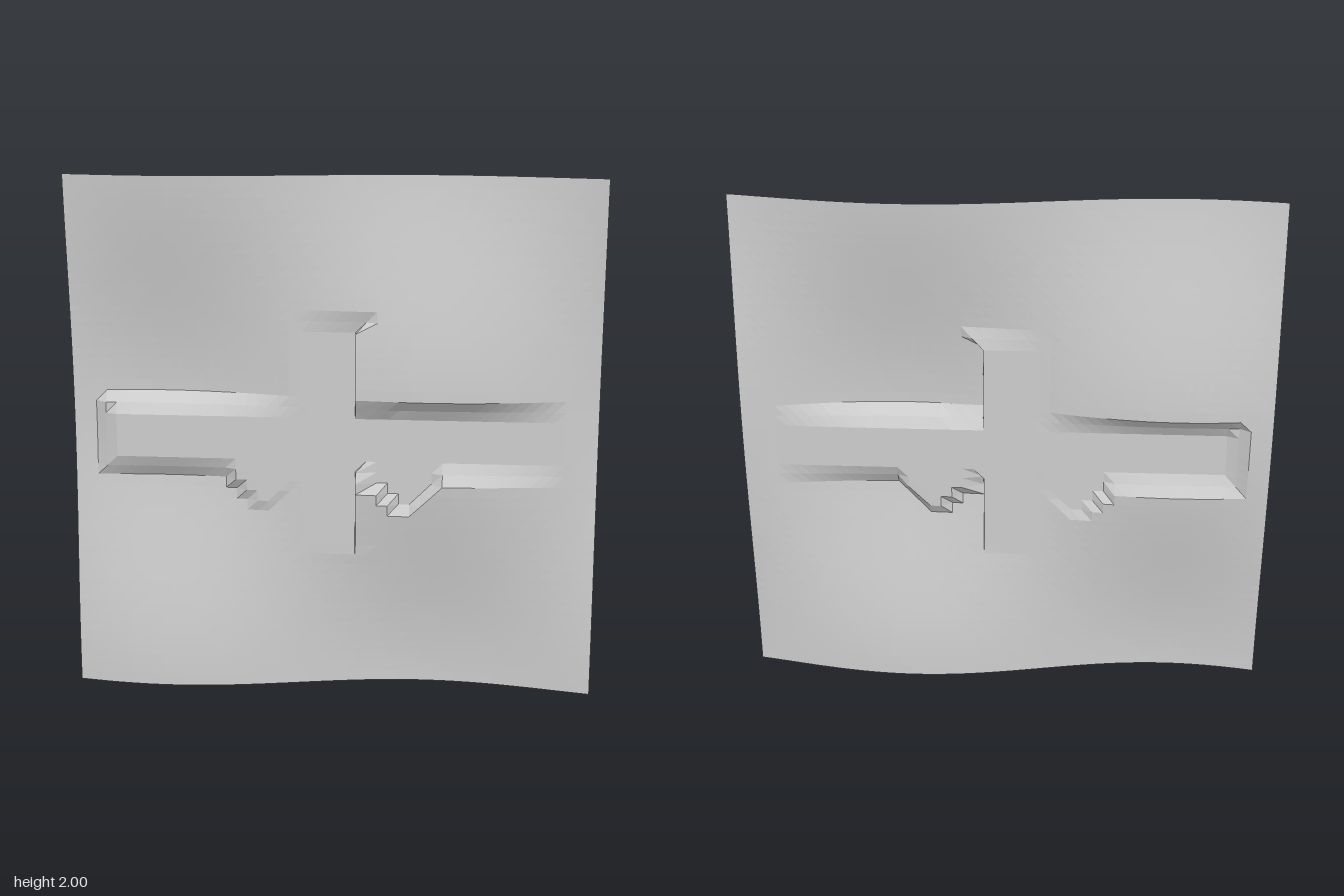
import * as THREE from 'three';

const CELLS = 48, STEP = 2 / CELLS;

// broad rolling waves of the sheet
function waves(x, y) {
  return 0.065 * Math.sin(Math.PI * (x + 0.14) / 1.02) * Math.cos(Math.PI * (y - 1.11) / 1.11);
}

// 0 inside a flat rectangle, rising to 1 over the given margin
function outsideBox(x, y, cx, cy, halfW, halfH, margin) {
  const d = Math.max(Math.abs(x - cx) - halfW, Math.abs(y - cy) - halfH);
  return THREE.MathUtils.clamp(d / margin, 0, 1);
}

// 0 inside a flat diamond, rising to 1 over the given margin
function outsideDiamond(x, y, cx, cy, radius, margin) {
  const d = Math.abs(x - cx) + Math.abs(y - cy) - radius;
  return THREE.MathUtils.clamp(d / margin, 0, 1);
}

// how much of the waves remains: none on the crossing strips and the two side pads
function blend(x, y) {
  const t = Math.min(
    outsideBox(x, y, 0, 1, 0.834, 0.084, 2 * STEP),
    outsideBox(x, y, -0.01, 1, 0.094, 0.418, 2 * STEP),
    outsideDiamond(x, y, 0.27, 0.86, 0.13, STEP),
    outsideDiamond(x, y, -0.27, 0.86, 0.13, STEP)
  );
  return Math.pow(t, 1.4);
}

export function createModel() {
  const group = new THREE.Group();
  group.name = 'reliefPanel';
  const grey = new THREE.MeshStandardMaterial({ color: 0xcccccc, side: THREE.DoubleSide, flatShading: true });
  grey.name = 'plain grey';

  // upright wavy sheet with a flat cross pressed into it
  const geometry = new THREE.PlaneGeometry(2, 2, CELLS, CELLS);
  geometry.translate(0, 1, 0);
  const p = geometry.attributes.position;
  for (let i = 0; i < p.count; i++) {
    const x = p.getX(i), y = p.getY(i);
    // sheer wall along the right side of the upright strip
    const wall = Math.abs(x - 3 * STEP) < 0.001 && Math.abs(y - 1) < 0.43;
    const sheer = wall && Math.abs(y - 1) > 0.1;
    const keep = sheer
      ? Math.min(outsideBox(x, y, 0, 1, 0.834, 0.084, 2 * STEP),
        outsideDiamond(x, y, 0.27, 0.86, 0.13, STEP))
      : x > 3 * STEP + 0.001 && x < 5 * STEP
        ? Math.min(outsideBox(x, y, 0, 1, 0.834, 0.084, 2 * STEP),
          outsideDiamond(x, y, 0.27, 0.86, 0.13, STEP))
        : blend(x, y);
    p.setZ(i, waves(x, y) * keep);
    if (sheer) p.setX(i, 2 * STEP + 0.003);
  }
  geometry.computeVertexNormals();

  const sheet = new THREE.Mesh(geometry, grey);
  sheet.name = 'wavySheet';
  group.add(sheet);
  return group;
}
